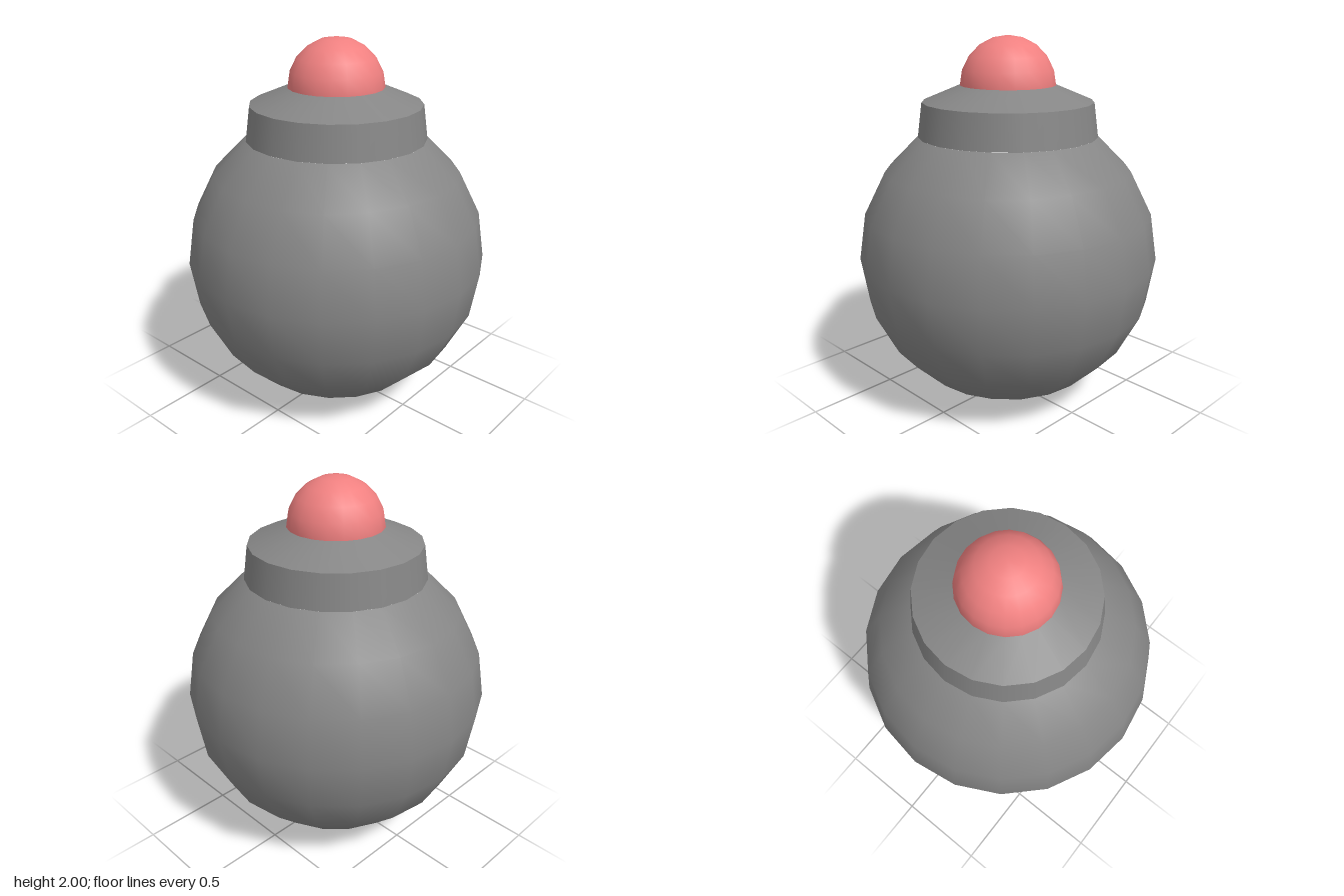
import * as THREE from 'three';

const SIDES = 20;

export function createModel() {
  const model = new THREE.Group();
  const darkGrey = new THREE.MeshStandardMaterial({ color: 0x868686 });
  const red = new THREE.MeshStandardMaterial({ color: 0xf08080 });

  function add(name, geometry, material, y) {
    const mesh = new THREE.Mesh(geometry, material);
    mesh.name = name;
    mesh.position.y = y;
    model.add(mesh);
  }

  // round body, open at the top where the collar sits
  const radius = 0.818;
  const opening = Math.PI * 0.2;
  add('body', new THREE.SphereGeometry(radius, SIDES, 8, 0, Math.PI * 2, opening, Math.PI - opening),
    darkGrey, radius);

  // collar: slightly tapered wall and a sloping shoulder, with a sharp edge between
  const wallBottom = 1.48, wallTop = 1.662, shoulderTop = 1.746;
  add('collarWall', new THREE.CylinderGeometry(0.456, 0.481, wallTop - wallBottom, SIDES, 1, true),
    darkGrey, (wallBottom + wallTop) / 2);
  add('collarShoulder', new THREE.CylinderGeometry(0.254, 0.456, shoulderTop - wallTop, SIDES, 1, true),
    darkGrey, (wallTop + shoulderTop) / 2);

  // half-round cap light
  add('dome', new THREE.SphereGeometry(0.254, SIDES, 5, 0, Math.PI * 2, 0, Math.PI / 2), red, shoulderTop);

  return model;
}
